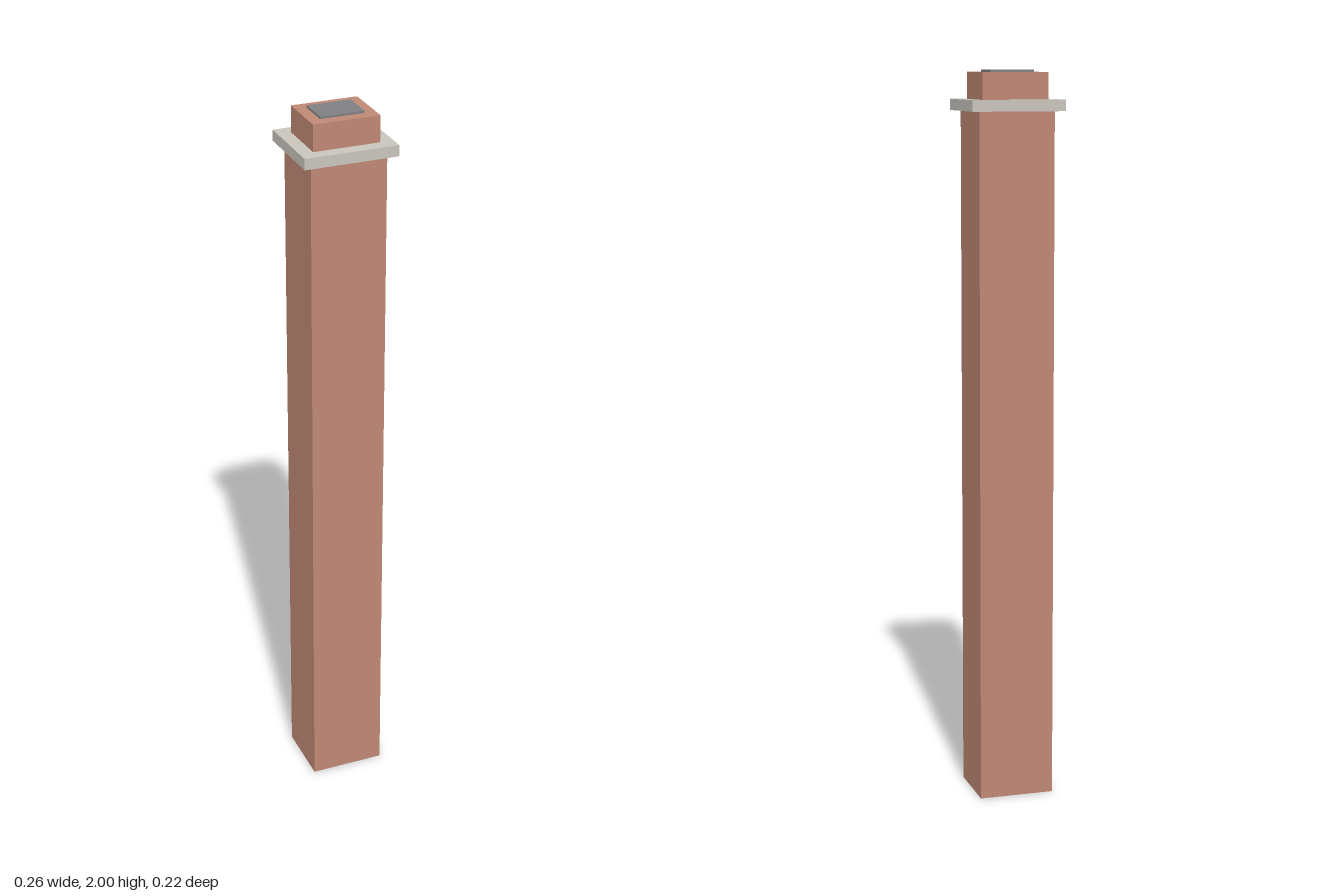
import * as THREE from 'three';

export function createModel() {
  const chimney = new THREE.Group();
  chimney.name = 'chimney';

  const material = (name, color) => {
    const m = new THREE.MeshStandardMaterial({ color });
    m.name = name;
    return m;
  };
  const brick = material('brick', 0xbf8875);
  const stone = material('stone', 0xc9c5bd);
  const soot = material('soot grey', 0x808083);

  // Each tier is a box spanning heights y0 to y1
  const addTier = (name, width, depth, y0, y1, mat) => {
    const mesh = new THREE.Mesh(new THREE.BoxGeometry(width, y1 - y0, depth), mat);
    mesh.name = name;
    mesh.position.y = (y0 + y1) / 2;
    chimney.add(mesh);
  };

  addTier('shaft', 0.208, 0.184, 0, 1.892, brick);
  addTier('capSlab', 0.256, 0.224, 1.892, 1.922, stone);
  addTier('neck', 0.182, 0.152, 1.922, 1.994, brick);
  addTier('flueOpening', 0.12, 0.092, 1.994, 2, soot);

  return chimney;
}
